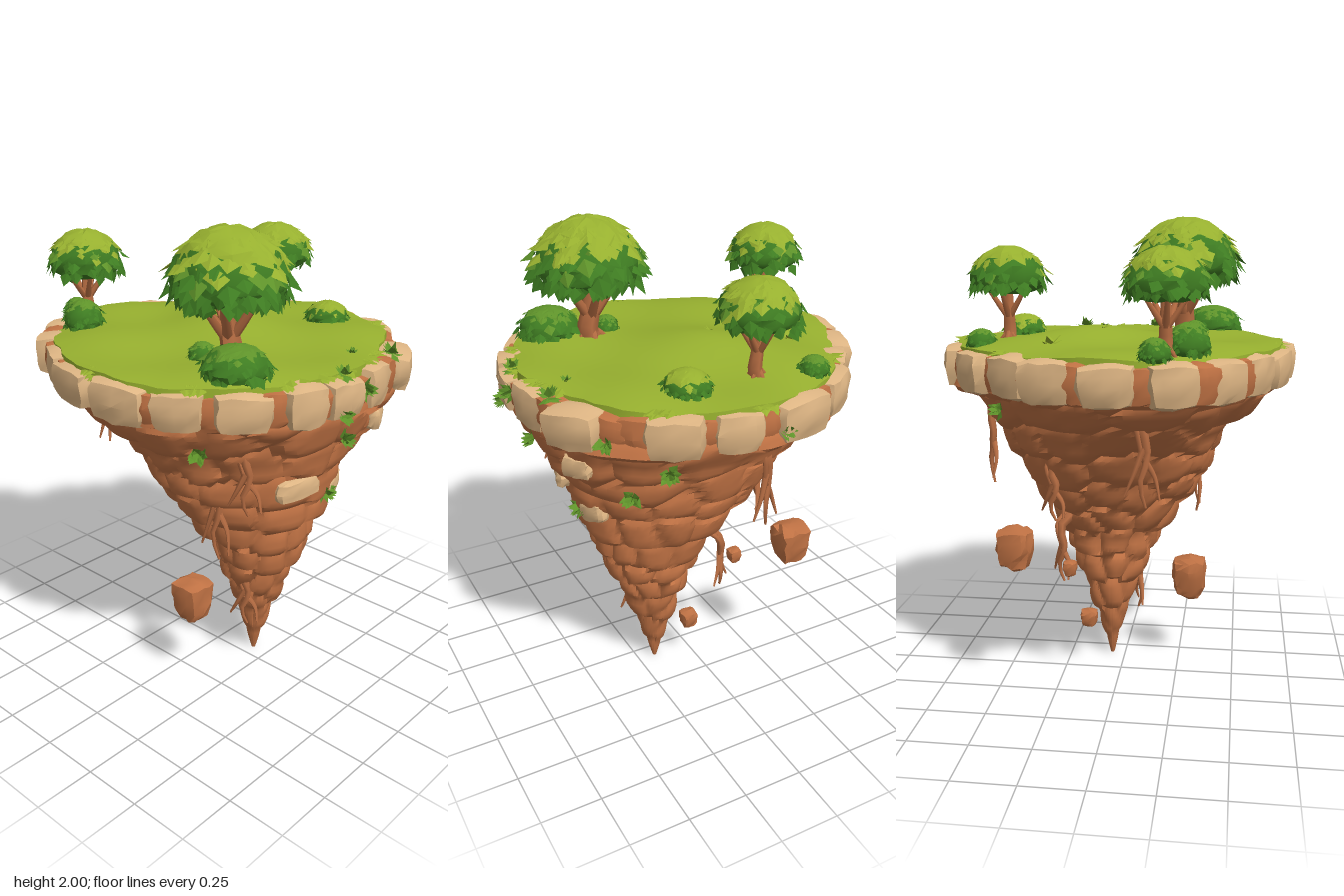
import * as THREE from 'three';
import { mergeVertices, toCreasedNormals, mergeGeometries } from 'three/addons/utils/BufferGeometryUtils.js';

const mat = (name, color, side = THREE.FrontSide) => {
  const m = new THREE.MeshStandardMaterial({ color, side });
  m.name = name;
  return m;
};
const rock = mat('brown rock', 0xc07244);
const paleStone = mat('pale stone', 0xe0b785);
const bark = mat('bark', 0xb56c42);
const grassGreen = mat('grass green', 0x97b02f, THREE.DoubleSide);
const midGreen = mat('mid leaf green', 0x5f932a, THREE.DoubleSide);
const darkGreen = mat('dark leaf green', 0x3f7d22, THREE.DoubleSide);

const V = (x, y, z) => new THREE.Vector3(x, y, z);
const TAU = Math.PI * 2, RAD = Math.PI / 180;
const hash = (a, b = 0) => {
  const s = Math.sin(a * 127.1 + b * 311.7) * 43758.5453;
  return s - Math.floor(s);
};
const jit = (a, b) => hash(a, b) * 2 - 1;

function add(parent, name, geometry, material) {
  const m = new THREE.Mesh(geometry, material);
  m.name = name;
  parent.add(m);
  return m;
}

// Surface of nu x nv cells closed around u; v runs upwards or inwards
function loft(nu, nv, fn, crease = 0.6) {
  const pos = [], idx = [];
  for (let j = 0; j <= nv; j++)
    for (let i = 0; i <= nu; i++) pos.push(...fn((i % nu) / nu, j / nv, i % nu, j).toArray());
  for (let j = 0; j < nv; j++)
    for (let i = 0; i < nu; i++) {
      const a = j * (nu + 1) + i, b = a + nu + 1;
      idx.push(a, b, a + 1, a + 1, b, b + 1);
    }
  const g = new THREE.BufferGeometry();
  g.setAttribute('position', new THREE.Float32BufferAttribute(pos, 3));
  g.setIndex(idx);
  return toCreasedNormals(g, crease);
}

// Worn boulder: box pulled towards an ellipsoid, roughened, narrower at the bottom
function chunk(w, h, d, seed, round, rough, taper = 0) {
  let g = new THREE.BoxGeometry(2, 2, 2, 4, 4, 4);
  g.deleteAttribute('uv');
  g.deleteAttribute('normal');
  g = mergeVertices(g);
  const p = g.attributes.position, v = V(0, 0, 0);
  for (let i = 0; i < p.count; i++) {
    v.fromBufferAttribute(p, i);
    v.lerp(v.clone().normalize(), round);
    const k = 1 + v.y * taper;
    p.setXYZ(i, (v.x * k + jit(i, seed) * rough) * w / 2, (v.y + jit(i, seed + 7) * rough) * h / 2, (v.z * k + jit(i, seed + 13) * rough) * d / 2);
  }
  return toCreasedNormals(g, 0.6);
}

// Tapered tube through points
function limb(points, r0, r1) {
  const curve = new THREE.CatmullRomCurve3(points), n = 8, k = 6;
  const g = new THREE.TubeGeometry(curve, n, 1, k), p = g.attributes.position, v = V(0, 0, 0);
  for (let i = 0; i < p.count; i++) {
    const t = Math.floor(i / (k + 1)) / n, c = curve.getPointAt(t);
    v.fromBufferAttribute(p, i).sub(c).multiplyScalar(r0 + (r1 - r0) * t).add(c);
    p.setXYZ(i, v.x, v.y, v.z);
  }
  g.computeVertexNormals();
  return g;
}

// Folded kite-shaped leaf appended to a position list
function leaf(out, p, dir, n, len, width) {
  const d = dir.clone().normalize(), s = d.clone().cross(n).normalize();
  const mid = p.clone().addScaledVector(d, len * 0.4).addScaledVector(n, -width * 0.12);
  const L = mid.clone().addScaledVector(s, width / 2), R = mid.clone().addScaledVector(s, -width / 2);
  const tip = p.clone().addScaledVector(d, len);
  for (const q of [p, tip, L, p, R, tip]) out.push(q.x, q.y, q.z);
}
function leafGeometry(list) {
  const g = new THREE.BufferGeometry();
  g.setAttribute('position', new THREE.Float32BufferAttribute(list, 3));
  g.computeVertexNormals();
  return g;
}

// Leafy crown: dark underside, lighter ragged cap and overlapping leaves
function crown(parent, x, y0, y1, z, R, capFrom, seed, count, capMat) {
  const g = new THREE.Group(), H = y1 - y0, yMid = y0 + H * 0.36;
  g.name = 'leafCrown';
  parent.add(g);
  const at = (a, phi, k) => {
    const up = phi > 0, r = R * 0.94 * Math.pow(Math.max(0, Math.cos(phi)), up ? 1 : 0.6) * k;
    return V(x + Math.cos(a) * r, yMid + Math.sin(phi) * (up ? H * 0.64 : H * 0.3) * k, z + Math.sin(a) * r);
  };
  add(g, 'crownUnderside', loft(18, 8, (u, v, i, j) =>
    at(u * TAU, -Math.PI / 2 + v * (Math.PI / 2 + capFrom + 0.25), 0.96 + (j ? jit(i + seed, j) * 0.04 : 0))), darkGreen);
  add(g, 'crownCap', loft(16, 5, (u, v, i, j) => {
    const start = capFrom + (i % 2 ? 0.16 : -0.08) + jit(i, seed) * 0.12;
    return at(u * TAU, start + v * (Math.PI / 2 - start), 0.985 + (j < 5 ? jit(i + seed, j + 40) * 0.03 : 0));
  }, 0.4), capMat);
  const lists = [[], [], []];
  for (let i = 0; i < count; i++) {
    const a = (i * 0.618 + hash(i, seed) * 0.1) * TAU, phi = -0.5 + hash(i, seed + 3) * 1.6;
    const n = V(Math.cos(a) * Math.cos(phi), Math.sin(phi), Math.sin(a) * Math.cos(phi));
    const d = V(n.x * n.y, -Math.cos(phi), n.z * n.y).addScaledVector(n, phi > capFrom ? 0.06 : 0.3);
    d.x += jit(i, 5) * 0.5;
    d.z += jit(i, 9) * 0.5;
    const level = phi + jit(i, seed + 6) * 0.22;
    const which = level > capFrom ? 0 : level > capFrom - 0.12 ? 1 : 2;
    const size = R * (0.22 + hash(i, 11) * 0.14);
    leaf(lists[which], at(a, phi, 0.98), d, n, size, size);
  }
  [capMat, midGreen, darkGreen].forEach((m, i) => add(g, 'crownLeaves', leafGeometry(lists[i]), m));
}

function tree(parent, x, z, R, y0, y1, r, seed, count) {
  const g = new THREE.Group(), parts = [];
  g.name = 'tree';
  parent.add(g);
  const fork = y0 - R * 0.35;
  parts.push(limb([V(x - 0.01, 1.46, z), V(x + r * 0.4, 1.52, z), V(x, fork, z), V(x, y0 + R * 0.5, z)], r * 1.25, r * 0.6));
  for (let i = 0; i < 5; i++) {
    const a = i / 5 * TAU + seed, c = Math.cos(a), s = Math.sin(a);
    parts.push(limb([V(x, fork - R * 0.15, z), V(x + c * R * 0.25, fork + R * 0.2, z + s * R * 0.25), V(x + c * R * 0.55, y0 + R * 0.3, z + s * R * 0.55)], r * 0.6, r * 0.3));
    parts.push(limb([V(x, 1.53, z), V(x + c * r * 1.2, 1.5, z + s * r * 1.2), V(x + c * r * 2, 1.46, z + s * r * 2)], r * 0.5, r * 0.2));
  }
  add(g, 'trunk', mergeGeometries(parts), bark);
  crown(g, x, y0, y1, z, R, 0.45, seed, count, grassGreen);
}

// Radii every 15 degrees, from +x towards +z, of the stone rim and the lawn
const rimR = [.755, .755, .75, .75, .73, .74, .72, .71, .705, .735, .785, .775, .755, .72, .69, .685, .72, .73, .735, .74, .765, .765, .795, .755];
const grassR = [.70, .68, .69, .70, .69, .69, .67, .65, .65, .67, .70, .71, .69, .64, .63, .63, .67, .66, .70, .69, .70, .70, .67, .68];
function radiusAt(table, a) {
  const t = (((a / TAU) % 1) + 1) % 1 * 24, i = Math.floor(t);
  return THREE.MathUtils.lerp(table[i % 24], table[(i + 1) % 24], t - i);
}

// Cliff extents by height: y, left, right, back, front
const cliff = [
  [0, 0.162, 0.178, -0.068, -0.052], [0.2, 0.1, 0.24, -0.12, 0], [0.42, 0.04, 0.325, -0.2, 0.08],
  [0.6, -0.01, 0.4, -0.26, 0.16], [0.76, -0.13, 0.45, -0.34, 0.25], [0.92, -0.25, 0.5, -0.43, 0.36],
  [1.1, -0.4, 0.58, -0.53, 0.45], [1.22, -0.54, 0.64, -0.59, 0.57], [1.32, -0.66, 0.7, -0.69, 0.67], [1.46, -0.67, 0.68, -0.67, 0.67]];
function cliffPoint(y, a, extra = 0) {
  let k = 0;
  while (k < cliff.length - 2 && y > cliff[k + 1][0]) k++;
  const A = cliff[k], B = cliff[k + 1], t = (y - A[0]) / (B[0] - A[0]);
  const [l, r, b, f] = [1, 2, 3, 4].map(i => A[i] + (B[i] - A[i]) * t);
  const m = THREE.MathUtils.lerp(1, radiusAt(rimR, a) / 0.745, THREE.MathUtils.smoothstep(y, 0.9, 1.3));
  return V((l + r) / 2 + Math.cos(a) * ((r - l) / 2 * m + extra), y, (b + f) / 2 + Math.sin(a) * ((f - b) / 2 * m + extra));
}
const grassY = (x, z) => 1.503 + 0.052 * Math.exp(-((x + 0.1) ** 2 + (z + 0.13) ** 2) / 0.05)
  + 0.014 * Math.sin(x * 9 + 1) * Math.cos(z * 8);

export function createModel() {
  const model = new THREE.Group();
  model.name = 'floatingIsland';

  // Cliff: every point belongs to its nearest boulder, which swells outwards and steps in below
  const boulders = [];
  for (let row = 0; row < 11; row++) {
    const n = Math.round(4 + row * 1.2);
    for (let c = 0; c < n; c++) {
      const a = (c + hash(row, 2) + jit(row, c) * 0.3) / n * TAU, y = 0.05 + row * 0.132 + jit(c, row + 5) * 0.045;
      boulders.push({ p: cliffPoint(y, a), lift: jit(c, row + 9) * 0.014 });
    }
  }
  add(model, 'cliff', loft(88, 66, (u, v) => {
    const y = 1.46 * v, a = u * TAU, p = cliffPoint(y, a);
    let d1 = 9, d2 = 9, near = boulders[0];
    for (const b of boulders) {
      const d = Math.hypot(p.x - b.p.x, (p.y - b.p.y) * 1.3, p.z - b.p.z);
      if (d < d1) { d2 = d1; d1 = d; near = b; } else if (d < d2) d2 = d;
    }
    const size = Math.min(1, y * 1.8) * (y > 1.38 ? 0.4 : 1);
    const groove = 1 - Math.min(1, (d2 - d1) / 0.09);
    const upright = THREE.MathUtils.clamp((near.p.y - y) * 0.32, -0.025, 0.025);
    return cliffPoint(y, a, size * (0.012 + near.lift + upright - groove * groove * 0.026));
  }, 0.65), rock);

  // Rim stones: centre angle and span in degrees, pale ones with brown ones in the gaps
  const rim = new THREE.Group();
  rim.name = 'rimStones';
  model.add(rim);
  const rimStone = (deg, span, seed, material, h, inset) => {
    const a = deg * RAD, r = radiusAt(rimR, a) - 0.088 + jit(seed, 4) * 0.006 - inset;
    const m = add(rim, 'rimStone', chunk(0.0138 * span, h, 0.18, seed, 0.55, 0.05, 0.07), material);
    m.position.set(Math.cos(a) * r, 1.397, Math.sin(a) * r);
    m.rotation.set(0, Math.PI / 2 - a + jit(seed, 3) * 0.08, jit(seed, 8) * 0.08);
  };
  [[79, 19], [103, 21], [122, 16], [142, 16], [158, 15], [177, 17], [197, 17], [214, 15], [234, 17], [258, 21], [281, 15], [300, 17],
    [330, 18], [350, 16], [7, 13], [21, 13], [40, 17], [59, 16]].forEach(([deg, span], i) =>
    rimStone(deg, span, i, paleStone, 0.168 + jit(i, 1) * 0.012, 0));
  [69, 112, 132, 150, 168, 187, 206, 224, 246, 270, 290, 311, 319, 340, 359, 14, 30, 50].forEach((deg, i) =>
    rimStone(deg, 12, i + 30, rock, 0.15 + jit(i, 2) * 0.02, 0.024));

  // Rolling lawn with a turned-down edge
  add(model, 'lawn', loft(72, 13, (u, v, i, j) => {
    const a = u * TAU, k = j === 0 ? 1.005 : 1 - (j - 1) / 12, r = (radiusAt(grassR, a) + jit(i, 3) * 0.008) * k;
    const x = Math.cos(a) * r, z = Math.sin(a) * r;
    return V(x, j === 0 ? 1.445 + jit(i, 6) * 0.012 : grassY(x, z) - 0.02 * Math.pow(k, 5), z);
  }, 0.8), grassGreen);

  // Grass clumps spilling over the rim
  const fringe = [];
  [4, 10, 24, 55, 92, 272, 303, 342, 350, 222].forEach((deg, c) => {
    for (let i = 0; i < 9; i++) {
      const a = (deg + jit(i, c) * 3.5) * RAD, n = V(Math.cos(a), 0, Math.sin(a)), r = radiusAt(grassR, a) - 0.025;
      leaf(fringe, V(n.x * r, 1.492, n.z * r), V(n.x + jit(i, 2) * 0.5, -0.35 + jit(i, c + 30) * 0.5, n.z + jit(i, 7) * 0.5), V(0, 1, 0), 0.065, 0.045);
    }
  });
  add(model, 'grassFringe', leafGeometry(fringe), grassGreen);

  // Leaf tufts growing on the cliff (height, angle, offset) and on the lawn
  const tufts = [];
  const tuft = (p, out, len, seed) => {
    for (let i = 0; i < 16; i++)
      leaf(tufts, p, V(out.x + jit(i, seed), out.y + jit(i, seed + 5), out.z + jit(i, seed + 9)), V(out.x, out.y + 0.3, out.z).normalize(), len, len * 0.7);
  };
  [[1.35, 10, .03], [1.2, 2, .02], [1.08, -48, .02], [1.22, -62, .02], [1.37, -41, .02], [.9, -8, .02], [1.42, 0, .04], [1.2, 60, .02],
    [1.38, 265, .03], [1.25, 225, .03]].forEach(([y, deg, off], i) =>
    tuft(cliffPoint(y, deg * RAD, off), V(Math.cos(deg * RAD), 0, Math.sin(deg * RAD)), 0.055, i));
  [[.57, -.15, .03], [.68, -.26, .05], [.7, .08, .045]].forEach(([x, z, s], i) => tuft(V(x, 1.485, z), V(0, 0.6, 0), s, i + 50));
  add(model, 'tufts', leafGeometry(tufts), midGreen);
  const sprigs = [];
  [[-.4, -.22, .05], [-.11, -.05, .025]].forEach(([x, z, s], c) => {
    for (let i = 0; i < 8; i++) leaf(sprigs, V(x, grassY(x, z), z), V(jit(i, c), 0.35, jit(i, c + 4)), V(0, 1, 0), s, s * 0.7);
  });
  add(model, 'lawnSprigs', leafGeometry(sprigs), grassGreen);

  // Pale slabs set into the cliff: height, angle, width
  [[.98, 18, .2], [.91, -18, .14], [1.2, -28, .14]].forEach(([y, deg, w], i) => {
    const m = add(model, 'cliffSlab', chunk(w, 0.09, 0.08, i + 60, 0.55, 0.1), paleStone);
    m.position.copy(cliffPoint(y, deg * RAD, 0));
    m.rotation.set(0, Math.PI / 2 - deg * RAD, 0.12);
  });

  // Hanging roots: x, z, top, bottom
  [[-.53, .15, 1.3, .91], [.45, .33, 1.22, .92], [.29, .32, 1.12, .67], [-.09, -.54, 1.27, .88], [-.06, -.25, .72, .43],
    [.22, .06, .5, .21], [-.24, -.25, 1.02, .76]].forEach(([x, z, t, b]) => {
    const h = t - b, cx = 0.16 - x, cz = -0.06 - z, l = Math.hypot(cx, cz), ix = cx / l, iz = cz / l, parts = [];
    const p = (k, s, o) => V(x + ix * o + iz * s, t - h * k, z + iz * o - ix * s);
    parts.push(limb([p(-0.05, 0, 0.08), p(0.15, 0.01, 0), p(0.5, -0.015, 0), p(0.75, 0.015, -0.01), p(1, -0.01, 0)], 0.026, 0.005));
    parts.push(limb([p(0.4, 0, 0), p(0.65, 0.035, 0), p(0.88, 0.07, 0.01)], 0.015, 0.004));
    parts.push(limb([p(0.5, 0, 0), p(0.7, -0.045, 0), p(0.92, -0.06, -0.02)], 0.014, 0.004));
    parts.push(limb([p(-0.05, 0.04, 0.08), p(0.12, 0.035, 0), p(0.5, 0.005, 0)], 0.013, 0.008));
    add(model, 'root', mergeGeometries(parts), bark);
  });

  // Loose rocks drifting beside the cliff: x, y, z, width, height
  [[-.32, .66, -.4, .15, .18], [.13, .405, .3, .15, .2], [.04, .22, -.15, .075, .085], [-.165, .525, -.2, .06, .07]].forEach(([x, y, z, w, h], i) => {
    add(model, 'floatingRock', chunk(w, h, w, i + 80, 0.65, 0.09, 0.14), rock).position.set(x, y, z);
  });

  // Trees and bushes
  tree(model, .29, .25, .24, 1.69, 2, .04, 1, 260);
  tree(model, -.08, -.46, .17, 1.67, 1.88, .025, 2, 130);
  tree(model, -.545, .23, .165, 1.67, 1.885, .025, 3, 130);
  [[.43, .37, .14, 1.61], [.22, -.46, .1, 1.58], [-.3, -.52, .065, 1.56], [-.48, .31, .09, 1.61], [-.655, .2, .065, 1.57], [.2, .3, .06, 1.56]]
    .forEach(([x, z, r, top], i) => crown(model, x, 1.47, top, z, r, i === 1 ? 0.5 : 0.75, i + 20, 90, i === 1 ? grassGreen : midGreen));

  return model;
}
